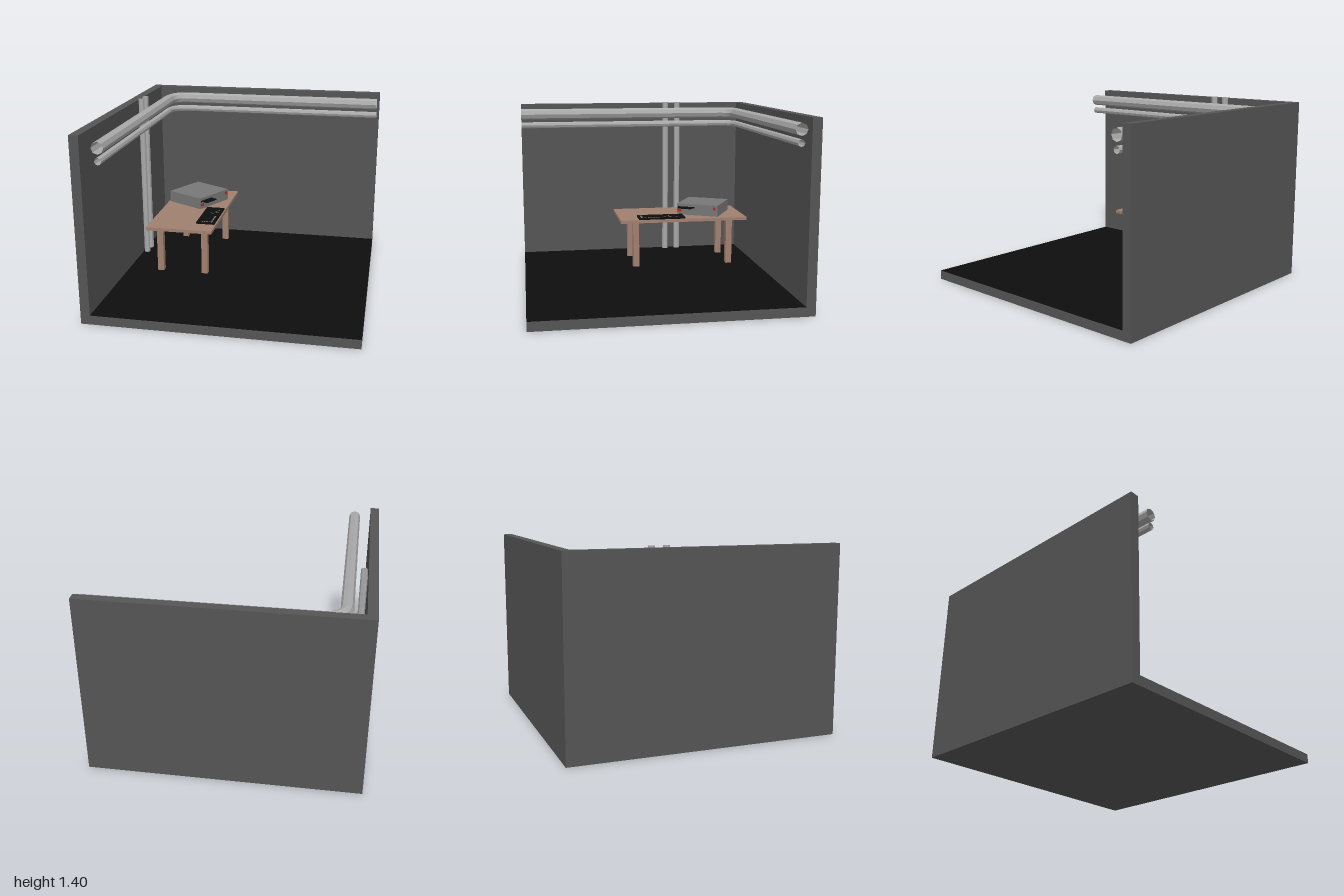
import * as THREE from 'three';

const mat = (color, extra = {}) => new THREE.MeshStandardMaterial({ color, flatShading: true, ...extra });

export function createModel() {
  const model = new THREE.Group();
  const wallMat = mat(0x555555);
  const blackMat = mat(0x0e0e0e);
  const woodMat = mat(0xa08070);
  const caseMat = mat(0x777777);
  const redMat = mat(0xc02020);
  const keyMat = mat(0x777777);
  const pipeMat = mat(0xaaaaaa, { side: THREE.DoubleSide });

  const add = (parent, name, geometry, material) => {
    const mesh = new THREE.Mesh(geometry, material);
    mesh.name = name;
    parent.add(mesh);
    return mesh;
  };
  // Box given by its minimum and maximum corners
  const box = (parent, name, [x0, y0, z0], [x1, y1, z1], material) => {
    const mesh = add(parent, name, new THREE.BoxGeometry(x1 - x0, y1 - y0, z1 - z0), material);
    mesh.position.set((x0 + x1) / 2, (y0 + y1) / 2, (z0 + z1) / 2);
    return mesh;
  };
  const group = (name) => {
    const g = new THREE.Group();
    g.name = name;
    model.add(g);
    return g;
  };

  // Room shell: only the upper face of the floor is black
  const room = group('room');
  box(room, 'floor', [-1, 0, -1], [1, 0.07, 1],
    [wallMat, wallMat, blackMat, wallMat, wallMat, wallMat]);
  box(room, 'leftWall', [-1, 0.07, -1], [-0.93, 1.39, 1], wallMat);
  box(room, 'backWall', [-0.93, 0.07, -1], [1, 1.39, -0.93], wallMat);

  // Two horizontal pipes that bend round the corner
  const pipes = group('pipes');
  const px = -0.802, pz = -0.863, bend = 0.14;
  const cornerPipe = (name, y, radius) => {
    const v = (x, z) => new THREE.Vector3(x, y, z);
    const arc = [];
    for (let i = 0; i <= 8; i++) {
      const a = (i / 8) * Math.PI / 2;
      arc.push(v(px + bend * (1 - Math.cos(a)), pz + bend * (1 - Math.sin(a))));
    }
    const points = [v(px, 1), ...arc, v(0.98, pz)];
    const path = new THREE.CurvePath();
    for (let i = 1; i < points.length; i++) path.add(new THREE.LineCurve3(points[i - 1], points[i]));
    add(pipes, name, new THREE.TubeGeometry(path, 130, radius, 8), pipeMat);
  };
  cornerPipe('largeCornerPipe', 1.31, 0.045);
  cornerPipe('smallCornerPipe', 1.217, 0.026);

  // Two vertical pipes on the left wall
  for (const z of [-0.27, -0.375]) {
    const pipe = add(pipes, 'verticalPipe', new THREE.CylinderGeometry(0.025, 0.025, 1.33, 8, 1, true), pipeMat);
    pipe.position.set(-0.9, 0.735, z);
  }

  // Table
  const table = group('table');
  box(table, 'tableTop', [-0.745, 0.45, -0.84], [-0.215, 0.475, 0.22], woodMat);
  for (const x of [-0.665, -0.3])
    for (const z of [-0.705, 0.085])
      box(table, 'tableLeg', [x - 0.025, 0.07, z - 0.025], [x + 0.025, 0.45, z + 0.025], woodMat);

  // Computer case, turned on the table; its own front is local +z
  const computer = group('computer');
  computer.position.set(-0.495, 0.475, -0.528);
  computer.rotation.y = 1.07;
  box(computer, 'case', [-0.178, 0, -0.175], [0.178, 0.093, 0.175], caseMat);
  box(computer, 'driveSlot', [-0.168, 0.058, 0.17], [-0.025, 0.07, 0.178], blackMat);
  box(computer, 'discTray', [-0.155, 0.06, 0.17], [-0.037, 0.068, 0.232], blackMat);
  box(computer, 'powerButton', [0.138, 0.052, 0.17], [0.16, 0.077, 0.181], redMat);
  box(computer, 'frontPort', [-0.172, 0.025, 0.17], [-0.138, 0.045, 0.179], redMat);

  // Keyboard with a scatter of pale key marks
  const keyboard = group('keyboard');
  box(keyboard, 'keyboardBase', [-0.375, 0.475, -0.32], [-0.227, 0.488, 0.065], blackMat);
  const keys = [
    [-0.255, -0.25], [-0.31, -0.19], [-0.27, -0.205], [-0.253, -0.19], [-0.29, -0.155],
    [-0.253, 0.015], [-0.253, 0.04], [-0.27, 0.04], [-0.292, 0.038], [-0.312, 0.04], [-0.33, 0.04],
  ];
  for (let i = 0; i < 5; i++) keys.push([-0.253, -0.1 + i * 0.02]);
  for (const [x, z] of keys)
    box(keyboard, 'key', [x - 0.006, 0.486, z - 0.007], [x + 0.006, 0.49, z + 0.007], keyMat);

  return model;
}
